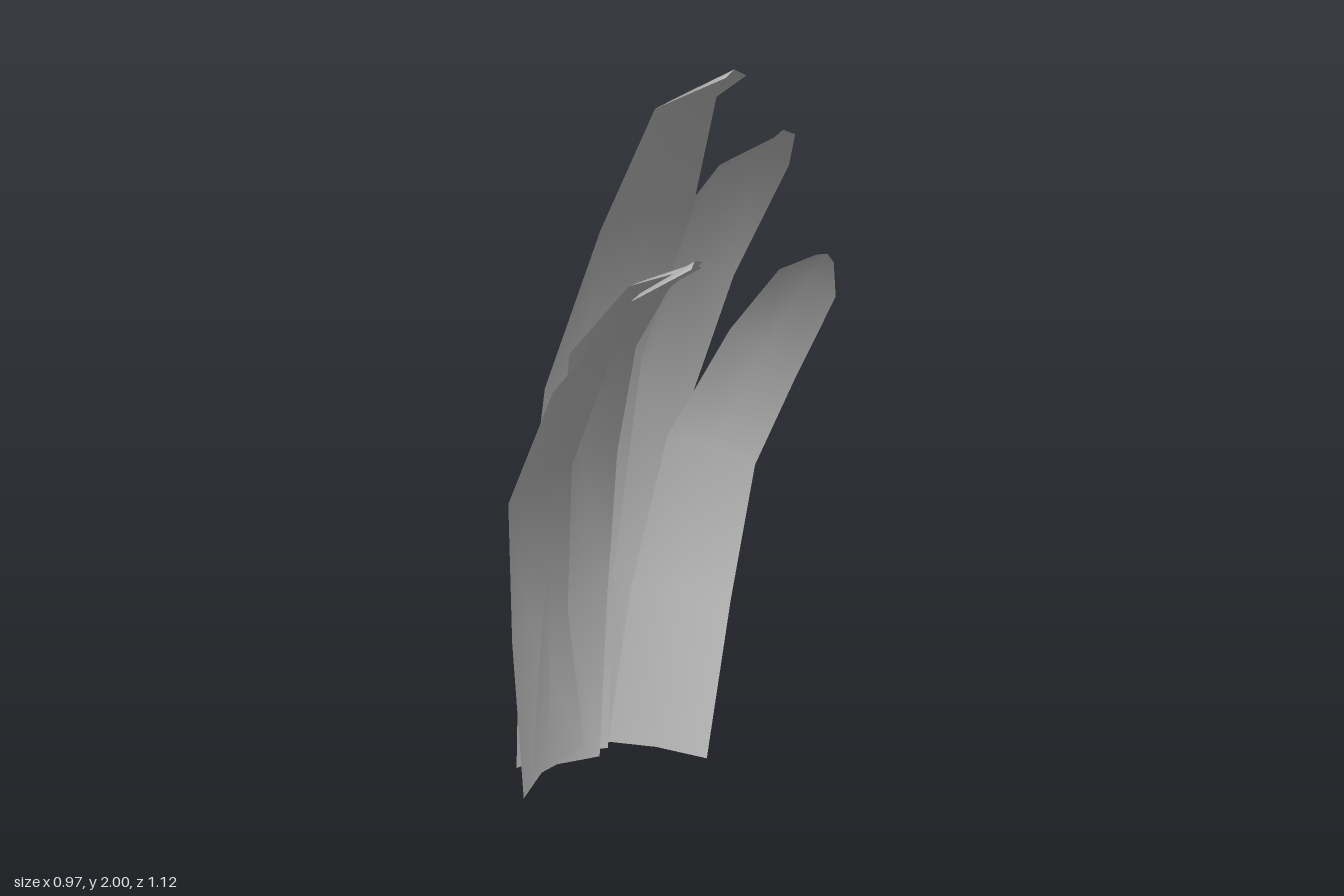
import * as THREE from 'three';

const V = (p) => new THREE.Vector3(...p);

// Thin curved blade lofted between its two long edges, with a soft ridge
// raised along the middle in proportion to the width (steeper at the tip).
function blade(name, edgeA, edgeB, material, bow = 0.12) {
  const a = edgeA.map(V), b = edgeB.map(V);
  const mid = a.map((p, i) => p.clone().lerp(b[i], 0.5));
  const last = a.length - 1;
  const pos = [], index = [];
  a.forEach((p, i) => {
    const chord = b[i].clone().sub(p);
    const along = mid[Math.min(i + 1, last)].clone().sub(mid[Math.max(i - 1, 0)]);
    const rise = chord.length() * (i === last ? 0.3 : bow);
    const ridge = along.cross(chord).setLength(rise).add(mid[i]);
    for (const q of [p, ridge, b[i]]) pos.push(q.x, q.y, q.z);
  });
  for (let i = 0; i < last; i++) {
    for (let j = 0; j < 2; j++) {
      const k = i * 3 + j;
      index.push(k, k + 3, k + 1, k + 1, k + 3, k + 4);
    }
  }
  const geo = new THREE.BufferGeometry();
  geo.setAttribute('position', new THREE.Float32BufferAttribute(pos, 3));
  geo.setIndex(index);
  geo.computeVertexNormals();
  const mesh = new THREE.Mesh(geo, material);
  mesh.name = name;
  return mesh;
}

export function createModel() {
  const group = new THREE.Group();
  group.name = 'leafTuft';
  const mat = new THREE.MeshStandardMaterial({ color: 0xcccccc, side: THREE.DoubleSide });

  // Outermost blade on the -x side, leaning furthest forward
  group.add(blade('outerRightBlade',
    [[-0.21, 0, -0.355], [-0.31, 0.43, -0.26], [-0.45, 0.83, -0.07],
      [-0.487, 1.16, 0.19], [-0.4, 1.42, 0.42], [-0.305, 1.515, 0.56]],
    [[0.035, 0.1, -0.44], [-0.07, 0.48, -0.36], [-0.205, 0.9, -0.14],
      [-0.265, 1.22, 0.13], [-0.263, 1.41, 0.34], [-0.263, 1.53, 0.552]], mat));

  // Inner blade beside it, crossing through its edge
  group.add(blade('innerRightBlade',
    [[-0.16, 0.045, -0.39], [-0.17, 0.45, -0.33], [-0.215, 0.88, -0.18],
      [-0.315, 1.22, 0.01], [-0.298, 1.43, 0.26], [-0.21, 1.485, 0.405]],
    [[0.09, 0.07, -0.45], [0.08, 0.5, -0.4], [0.01, 0.9, -0.25],
      [-0.1, 1.22, 0], [-0.15, 1.42, 0.24], [-0.165, 1.485, 0.4]], mat));

  // Tallest blade
  group.add(blade('tallBlade',
    [[-0.175, 0.065, -0.44], [-0.18, 0.5, -0.42], [-0.195, 1.08, -0.28],
      [-0.212, 1.53, 0], [-0.23, 1.89, 0.28], [-0.125, 1.985, 0.452]],
    [[0.15, 0.08, -0.5], [0.142, 0.56, -0.46], [0.12, 1.13, -0.3],
      [0.08, 1.55, -0.01], [-0.025, 1.9, 0.26], [-0.06, 1.985, 0.45]], mat));

  // Second tallest blade, at the back
  group.add(blade('backBlade',
    [[0.05, 0.085, -0.525], [0.08, 0.55, -0.505], [0.06, 1.0, -0.415],
      [0.065, 1.37, -0.24], [0.16, 1.67, 0], [0.215, 1.76, 0.17]],
    [[0.335, 0.08, -0.545], [0.36, 0.55, -0.5], [0.345, 1.0, -0.4],
      [0.332, 1.34, -0.19], [0.342, 1.66, 0.05], [0.27, 1.765, 0.185]], mat, 0.1));

  // Short blade on the +x side
  group.add(blade('outerLeftBlade',
    [[0.17, 0.09, -0.53], [0.205, 0.5, -0.475], [0.26, 0.9, -0.39],
      [0.32, 1.2, -0.19], [0.345, 1.38, 0], [0.355, 1.44, 0.16]],
    [[0.403, 0.04, -0.42], [0.43, 0.46, -0.35], [0.462, 0.82, -0.285],
      [0.485, 1.07, -0.13], [0.46, 1.31, 0.09], [0.388, 1.42, 0.188]], mat));

  return group;
}
